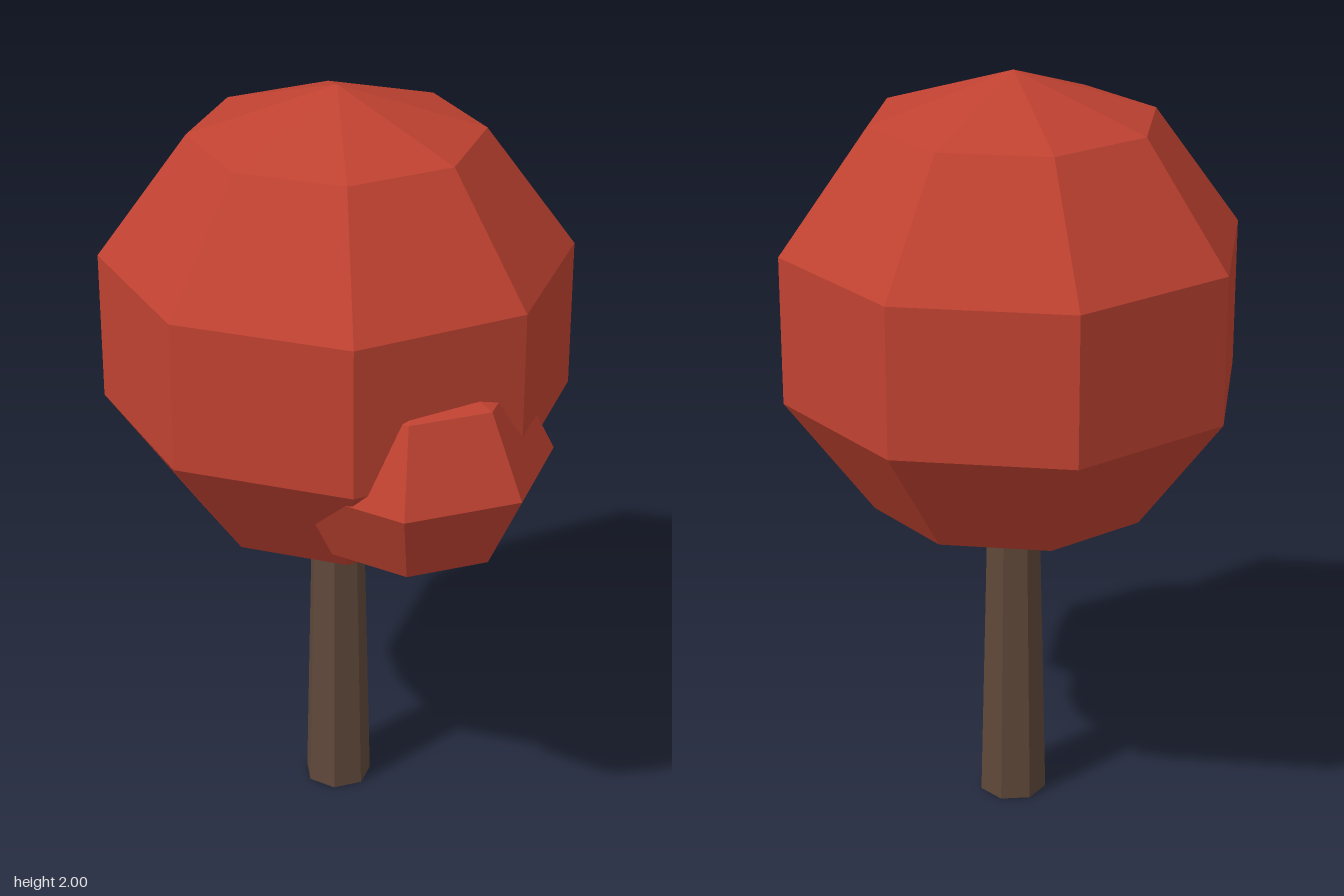
import * as THREE from 'three';

const leafRed = new THREE.MeshStandardMaterial({ color: 0xc04231, flatShading: true });
leafRed.name = 'leaf red';
const barkBrown = new THREE.MeshStandardMaterial({ color: 0x5f4839, flatShading: true });
barkBrown.name = 'bark brown';

const AXIS_X = -0.022;
const AXIS_Z = -0.006;

function addPart(group, name, geometry, material, x, y, z) {
  const mesh = new THREE.Mesh(geometry, material);
  mesh.name = name;
  mesh.position.set(x, y, z);
  group.add(mesh);
  return mesh;
}

export function createModel() {
  const tree = new THREE.Group();
  tree.name = 'tree';

  // Seven-sided tapering trunk, one corner toward -x, top hidden in the crown
  const trunkHeight = 0.84;
  const trunk = new THREE.CylinderGeometry(0.07, 0.09, trunkHeight, 7, 1, false, -Math.PI / 2);
  addPart(tree, 'trunk', trunk, barkBrown, AXIS_X, trunkHeight / 2, AXIS_Z + 0.003);

  // Large eight-sided crown with flat sides facing the axes
  const crown = new THREE.SphereGeometry(0.627, 8, 5, Math.PI / 8);
  crown.scale(1, 0.624 / 0.627, 1);
  addPart(tree, 'crown', crown, leafRed, AXIS_X, 1.376, AXIS_Z);

  // Small seven-sided leaf clump, slightly squashed, growing from the front left
  const clump = new THREE.SphereGeometry(0.346, 7, 4);
  clump.scale(1, 0.29 / 0.346, 1);
  addPart(tree, 'leafClump', clump, leafRed, 0.259, 1.148, 0.22);

  return tree;
}
